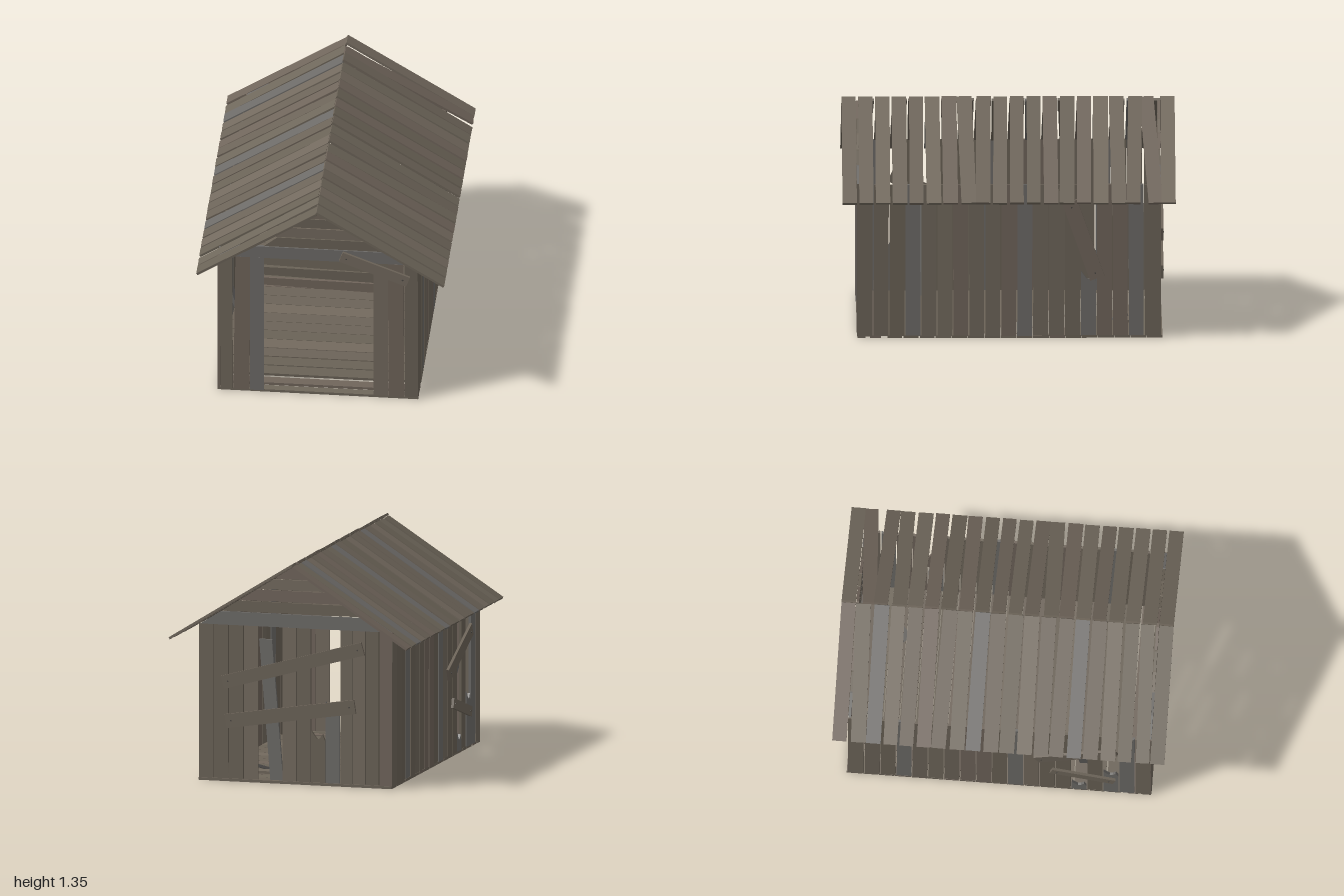
import * as THREE from 'three';

const BROWN = [0x6f675b, 0x6a6256, 0x736a5e, 0x6c6358, 0x70655b];
const GREY = 0x6d6b68;
const T = 0.016; // board thickness

let seed = 7;
const rand = () => (seed = (seed * 16807) % 2147483647) / 2147483647;
const jitter = (a) => (rand() * 2 - 1) * a;

function addMesh(parent, name, geometry, color) {
  const mat = new THREE.MeshStandardMaterial({
    color: color ?? BROWN[Math.floor(rand() * BROWN.length)], flatShading: true,
  });
  const mesh = new THREE.Mesh(geometry, mat);
  mesh.name = name;
  parent.add(mesh);
  return mesh;
}

// Flat board cut from an outline, lying behind the local z = 0 plane
function cutBoard(parent, name, points, color, z = -T) {
  const shape = new THREE.Shape(points.map(([x, y]) => new THREE.Vector2(x, y)));
  const geo = new THREE.ExtrudeGeometry(shape, { depth: T, bevelEnabled: false });
  const mesh = addMesh(parent, name, geo, color);
  mesh.position.z = z;
  return mesh;
}

// Upright plank from u0 to u1, v0 to v1; a broken one ends in splinters
function upright(parent, u0, u1, v0, v1, { broken = false, lean = 0, color } = {}) {
  const w = u1 - u0;
  const top = broken
    ? [[1, -0.03], [0.82, 0.01], [0.62, -0.015], [0.42, -0.02], [0.2, 0.005], [0, 0.03]]
    : [[1, 0], [0, 0]];
  const pts = [[u0, v0], [u1, v0], ...top.map(([f, d]) => [u0 + w * f + lean, v1 + d])];
  return cutBoard(parent, broken ? 'brokenPlank' : 'wallPlank', pts, color, -T + jitter(0.002));
}

// Loose board nailed across a wall between two points
function nailedBoard(parent, name, [x0, y0], [x1, y1], width, color, z = T / 2 + 0.002) {
  const len = Math.hypot(x1 - x0, y1 - y0);
  const group = new THREE.Group();
  group.name = name;
  group.position.set((x0 + x1) / 2, (y0 + y1) / 2, z);
  group.rotation.z = Math.atan2(y1 - y0, x1 - x0);
  addMesh(group, 'board', new THREE.BoxGeometry(len, width, T), color);
  for (const s of [-1, 1]) {
    const nail = addMesh(group, 'nail', new THREE.CylinderGeometry(0.005, 0.005, 0.006, 8), 0x4a4743);
    nail.rotation.x = Math.PI / 2;
    nail.position.set(s * (len / 2 - 0.035), 0, T / 2);
  }
  parent.add(group);
  return group;
}

// A wall's own frame: local x along the wall, y up, z outward
function wall(parent, name, x, z, turn) {
  const group = new THREE.Group();
  group.name = name;
  group.position.set(x, 0, z);
  group.rotation.y = turn;
  parent.add(group);
  return group;
}

// Horizontal gable boards, trimmed to the roof slope
function gable(parent, cx, brokenRow) {
  const half = (y) => Math.min(0.605, (1.328 - y) / 0.632);
  const rows = [0.95, 1.035, 1.105, 1.178, 1.245, 1.325];
  for (let i = 0; i < 5; i++) {
    const a = rows[i], b = rows[i + 1] - 0.005;
    const left = i === brokenRow ? [-0.27, -0.35] : [cx - half(b), cx - half(a)];
    cutBoard(parent, 'gableBoard',
      [[left[1], a], [cx + half(a), a], [cx + half(b), b], [left[0], b]], i === 0 ? GREY : undefined);
  }
}

// Long side of upright planks; special maps plank index to its break height
function sidePlanks(parent, special) {
  const n = 19, pitch = 1.82 / n;
  for (let i = 0; i < n; i++) {
    const u = -0.91 + i * pitch;
    const v = special[i];
    if (v === 0) continue;
    upright(parent, u + 0.002, u + pitch - 0.005, 0.012, v ?? 0.945,
      { broken: v !== undefined, lean: v ? 0 : jitter(0.003), color: v || i % 7 === 3 ? GREY : undefined });
  }
}

export function createModel() {
  seed = 7;
  const model = new THREE.Group();
  model.name = 'woodenShed';

  // Floor boards, with gaps by the doorway
  const floor = new THREE.Group();
  floor.name = 'floor';
  model.add(floor);
  const floorBoard = (z, w) => addMesh(floor, 'floorBoard', new THREE.BoxGeometry(1.21, T, w))
    .position.set(-0.025, T / 2, z);
  floorBoard(0.885, 0.05);
  floorBoard(0.8, 0.065);
  for (let i = 0; i < 17; i++) floorBoard(0.685 - i * 0.0975, i < 3 ? 0.088 : 0.094);

  // Front wall: planks either side of the doorway, header boards above it
  const front = wall(model, 'frontWall', 0, 0.912, 0);
  upright(front, -0.63, -0.615, 0.015, 0.95);
  upright(front, -0.612, -0.538, 0.015, 0.95, { lean: -0.004 });
  upright(front, -0.534, -0.44, 0.01, 0.95, { lean: 0.012 });
  upright(front, -0.435, -0.35, 0.01, 0.95, { color: GREY });
  upright(front, 0.31, 0.398, 0.015, 0.875);
  upright(front, 0.402, 0.495, 0.015, 0.95, { lean: -0.004 });
  upright(front, 0.5, 0.58, 0.015, 0.95, { lean: -0.003 });
  for (const [a, b] of [[0.74, 0.8], [0.81, 0.875], [0.882, 0.947]])
    cutBoard(front, 'doorHeader',
      [[-0.36, a + 0.01], [0.41, a - 0.012], [0.41, b - 0.008], [-0.36, b]], undefined, -2 * T - 0.002);
  gable(front, -0.025, 1);
  nailedBoard(front, 'looseFrontBoard', [0.115, 0.995], [0.52, 0.84], 0.068);

  // Back wall: broken planks, one knocked askew, two boards nailed across
  const back = wall(model, 'backWall', 0, -0.912, Math.PI);
  const backPlanks = [
    [-0.63, -0.55], [-0.545, -0.465], [-0.46, -0.385], [-0.38, -0.305],
    [-0.3, -0.213, 0.48], [-0.208, -0.122, 0.3], [-0.118, -0.032], [-0.028, 0.058],
    [0.213, 0.3], [0.305, 0.395], [0.4, 0.49], [0.495, 0.58],
  ];
  for (const [a, b, h] of backPlanks)
    upright(back, -b, -a, 0.012, h ?? 0.95, { broken: !!h, color: h === 0.48 ? GREY : undefined });
  cutBoard(back, 'askewPlank',
    [[-0.14, 0.015], [-0.06, 0.015], [-0.13, 0.87], [-0.21, 0.87]], GREY, -2 * T - 0.003);
  gable(back, 0.025, -1);
  nailedBoard(back, 'upperCrossBoard', [-0.43, 0.6], [0.45, 0.845], 0.08);
  nailedBoard(back, 'lowerCrossBoard', [-0.41, 0.365], [0.4, 0.49], 0.085);

  // Left side (+x): one broken plank behind a slanting board
  const left = wall(model, 'leftWall', 0.58, 0, Math.PI / 2);
  sidePlanks(left, { 14: 0.38 });
  nailedBoard(left, 'slantingBoard', [0.365, 0.84], [0.53, 0.37], 0.092);

  // Right side (-x): broken planks patched by two boards
  const right = wall(model, 'rightWall', -0.63, 0, -Math.PI / 2);
  sidePlanks(right, { 14: 0.1, 16: 0.32 });
  nailedBoard(right, 'upperPatchBoard', [0.22, 0.51], [0.7, 0.72], 0.08);
  nailedBoard(right, 'lowerPatchBoard', [0.31, 0.33], [0.69, 0.22], 0.06);

  // Corner posts inside
  for (const x of [-0.6, 0.55]) for (const z of [-0.88, 0.88])
    addMesh(model, 'cornerPost', new THREE.BoxGeometry(0.025, 0.91, 0.025)).position.set(x, 0.47, z);

  // Fallen planks inside
  const leaning = addMesh(model, 'leaningPlank', new THREE.BoxGeometry(T, 0.56, 0.085), GREY);
  leaning.position.set(-0.535, 0.29, 0.51);
  leaning.rotation.z = 0.28;
  const fallen = addMesh(model, 'fallenPlank', new THREE.BoxGeometry(0.28, T, 0.08));
  fallen.position.set(0.16, 0.032, -0.7);
  fallen.rotation.set(0, 0.12, 0.03);
  const scrap = addMesh(model, 'fallenScrap', new THREE.BoxGeometry(0.11, T, 0.06), GREY);
  scrap.position.set(0.27, 0.055, -0.66);
  scrap.rotation.set(0.1, 0.8, 0.25);

  // Roof: two slopes of slightly crooked boards
  const slopes = [
    { name: 'roofLeft', side: 1, run: 0.77, drop: 0.478, y: 1.343, askew: { 18: 0.055, 16: 0.012, 7: 0.025, 17: -0.02 } },
    { name: 'roofRight', side: -1, run: 0.718, drop: 0.462, y: 1.328, askew: { 18: 0.03, 1: 0.028, 6: -0.015, 13: -0.022 } },
  ];
  for (const { name, side, run, drop, y, askew } of slopes) {
    const slope = new THREE.Group();
    slope.name = name;
    slope.position.set(-0.028, y, 0);
    slope.rotation.z = -side * Math.atan2(drop, run);
    const len = Math.hypot(run, drop);
    for (let i = 0; i < 20; i++) {
      const end = i === 0 || i === 19;
      const w = end ? 0.086 : 0.086 + jitter(0.005);
      const board = addMesh(slope, 'roofBoard', new THREE.BoxGeometry(len, T * 0.9, w),
        side < 0 && i % 6 === 5 ? GREY : undefined);
      const z = i === 0 ? 0.957 : i === 19 ? -0.957 : 0.957 - i * 0.1007;
      board.position.set(side * len / 2, end ? 0 : jitter(0.002), z);
      board.rotation.y = end ? 0 : askew[i] ?? jitter(0.011);
    }
    model.add(slope);
  }
  return model;
}
